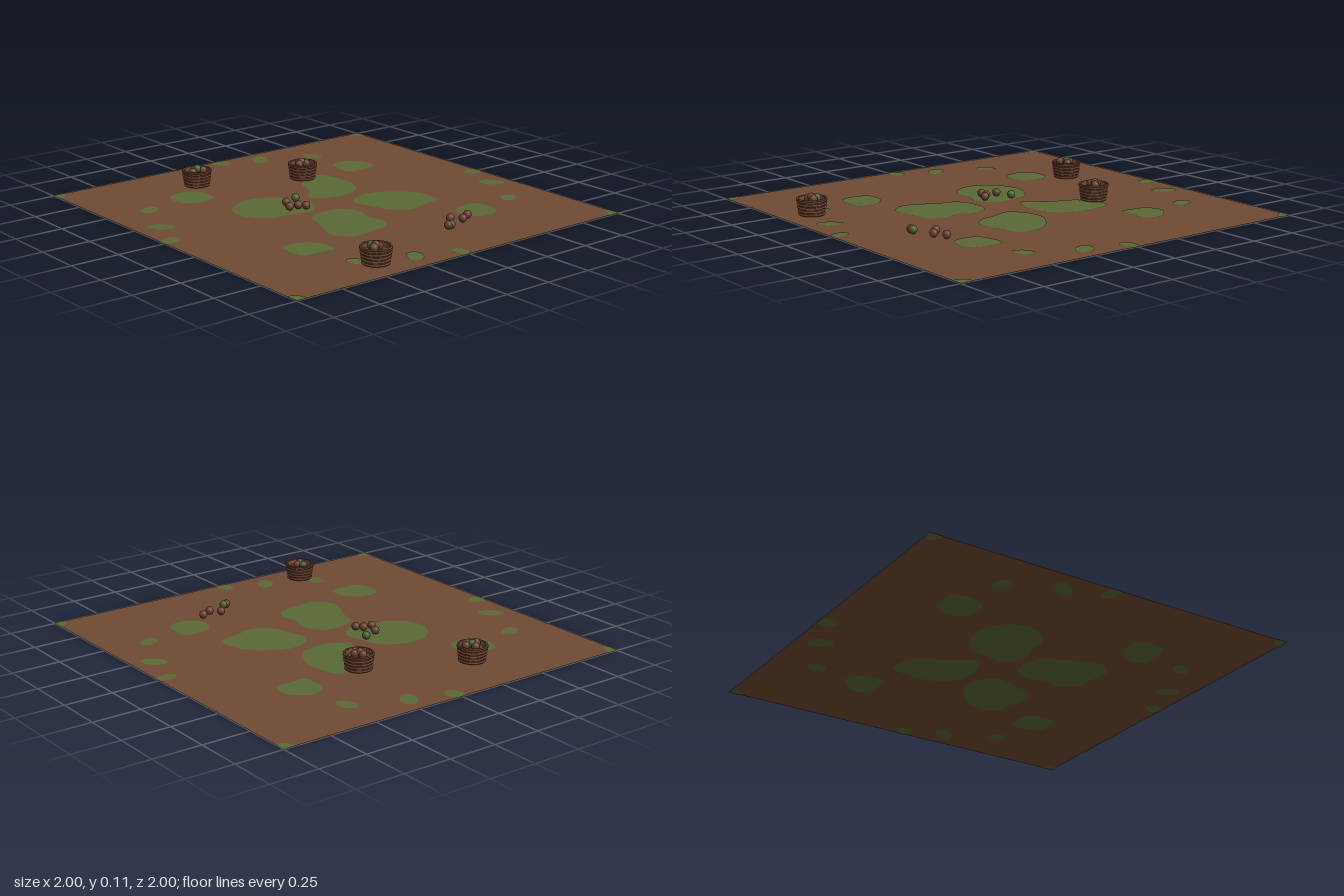
import * as THREE from 'three';

const mat = (name, color, side = THREE.FrontSide) => {
  const m = new THREE.MeshStandardMaterial({ color, side });
  m.name = name;
  return m;
};

export function createModel() {
  const soil = mat('soil', 0x704a34, THREE.DoubleSide);
  const grass = mat('grass', 0x5a6834, THREE.DoubleSide);
  const wicker = mat('wicker', 0x6b422e, THREE.DoubleSide);
  const brownFruit = mat('brownFruit', 0x68402e);
  const greenFruit = mat('greenFruit', 0x4a6030);

  const root = new THREE.Group();
  root.name = 'fieldWithBaskets';
  const add = (parent, name, geometry, material, x = 0, y = 0, z = 0) => {
    const mesh = new THREE.Mesh(geometry, material);
    mesh.name = name;
    mesh.position.set(x, y, z);
    parent.add(mesh);
  };

  // Bare earth sheet
  add(root, 'ground', new THREE.PlaneGeometry(2, 2).rotateX(-Math.PI / 2), soil, 0, 0.002, 0);

  // Grass patches, laid on both faces of the sheet and cut off at its edge
  const clip = (v) => THREE.MathUtils.clamp(v, -1, 1);
  const addPatch = (curve, divisions) => {
    const points = curve.getPoints(divisions).slice(0, -1);
    const shape = new THREE.Shape(points.map((p) => new THREE.Vector2(clip(p.x), -clip(p.y))));
    const geometry = new THREE.ShapeGeometry(shape).rotateX(-Math.PI / 2);
    add(root, 'grassPatch', geometry, grass, 0, 0.004, 0);
    add(root, 'grassPatchUnderside', geometry, grass, 0, 0, 0);
  };

  // Irregular patches: centre x, z and radii at equal angles, joined by a smooth curve
  const addBlob = (x, z, radii) => {
    const points = radii.map((r, i) => {
      const angle = (i / radii.length) * Math.PI * 2;
      return new THREE.Vector3(x + r * Math.cos(angle), z + r * Math.sin(angle), 0);
    });
    addPatch(new THREE.CatmullRomCurve3(points, true), 48);
  };
  addBlob(-0.25, -0.17, [0.17, 0.195, 0.22, 0.115, 0.105, 0.135, 0.18, 0.225, 0.17, 0.15, 0.145, 0.16]);
  addBlob(0.16, -0.28, [0.16, 0.165, 0.15, 0.145, 0.205, 0.2, 0.185, 0.165, 0.175, 0.195, 0.215, 0.155]);
  addBlob(0.28, 0.13, [0.185, 0.23, 0.215, 0.155, 0.14, 0.185, 0.2, 0.215, 0.185, 0.13, 0.175, 0.2]);
  addBlob(-0.14, 0.27, [0.15, 0.175, 0.19, 0.2, 0.195, 0.18, 0.175, 0.17, 0.18, 0.18, 0.22, 0.205]);
  addBlob(-0.48, -0.53, [0.085, 0.12, 0.09, 0.1, 0.1, 0.09, 0.105, 0.115]);
  addBlob(0.53, -0.49, [0.1, 0.105, 0.1, 0.1, 0.095, 0.12, 0.09, 0.1]);
  addBlob(-0.53, 0.48, [0.1, 0.105, 0.1, 0.11, 0.1, 0.11, 0.1, 0.11]);
  addBlob(0.48, 0.53, [0.09, 0.11, 0.105, 0.115, 0.095, 0.09, 0.1, 0.125]);

  // Small oval tufts: x, z, half length, half width, turn
  const addTuft = (x, z, a, b, turn) =>
    addPatch(new THREE.EllipseCurve(x, z, a, b, 0, Math.PI * 2, false, turn), 20);
  const tufts = [
    [-0.765, -0.485, 0.055, 0.04, -0.3], [-0.885, -0.22, 0.066, 0.042, 0.5],
    [0.22, -0.89, 0.068, 0.043, -0.7], [0.475, -0.765, 0.055, 0.04, 1], [0.01, -0.955, 0.055, 0.036, 1.5],
    [-0.96, -0.01, 0.055, 0.042, -0.2], [0.955, 0.01, 0.052, 0.036, -0.2], [0.875, 0.22, 0.065, 0.042, 0.6],
    [-0.48, 0.765, 0.055, 0.04, 1.1], [-0.22, 0.875, 0.068, 0.042, -0.8], [-0.015, 0.955, 0.055, 0.038, 1.3],
    [0.765, 0.475, 0.055, 0.038, -0.4],
  ];
  for (const tuft of tufts) addTuft(...tuft);
  for (const sx of [-1, 1]) {
    for (const sz of [-1, 1]) addTuft(sx * 0.99, sz * 0.985, 0.055, 0.04, -0.3 * sx * sz);
  }

  // Round fruit
  const fruitGeometry = new THREE.SphereGeometry(0.021, 16, 12);
  const addFruit = (parent, x, y, z, green) =>
    add(parent, 'fruit', fruitGeometry, green ? greenFruit : brownFruit, x, y, z);
  const loose = [
    [-0.145, 0.115, true], [-0.113, 0.197], [-0.037, 0.182], [-0.008, 0.155], [-0.043, 0.23],
    [0.604, -0.358], [0.636, -0.299], [0.593, -0.256], [0.674, -0.187, true], [0.674, -0.17],
  ];
  for (const [x, z, green] of loose) addFruit(root, x, 0.025, z, green);

  // Woven baskets: flared wall, bulging bands, rim and contents
  const profile = [[0, 0.006], [0.06, 0.006], [0.071, 0.088], [0.064, 0.088], [0.058, 0.07], [0, 0.07]];
  const wall = new THREE.LatheGeometry(profile.map(([r, y]) => new THREE.Vector2(r, y)), 28).toNonIndexed();
  wall.computeVertexNormals();
  const ring = (radius, tube) => new THREE.TorusGeometry(radius, tube, 6, 28).rotateX(Math.PI / 2);
  const baskets = [
    { at: [-0.45, -0.17], fruit: [[-0.025, 0.005], [0, 0.023], [0.006, -0.018], [-0.008, 0.002]] },
    { at: [-0.69, 0.333], fruit: [[-0.022, 0], [0.015, -0.028], [0.014, 0.035], [0, -0.002, true]] },
    { at: [0.845, 0.428], fruit: [[-0.03, 0.002, true], [0, -0.015], [0.008, 0.02], [0, 0.002]] },
  ];
  for (const { at, fruit } of baskets) {
    const basket = new THREE.Group();
    basket.name = 'basket';
    basket.position.set(at[0], 0, at[1]);
    root.add(basket);
    add(basket, 'basketWall', wall, wicker);
    for (let i = 0; i < 5; i++) {
      add(basket, 'basketBand', ring(0.0615 + i * 0.0022, 0.006), wicker, 0, 0.013 + i * 0.0165, 0);
    }
    add(basket, 'basketRim', ring(0.071, 0.005), wicker, 0, 0.087, 0);
    fruit.forEach(([x, z, green], i) => addFruit(basket, x, i === 3 ? 0.093 : 0.086, z, green));
  }
  return root;
}
